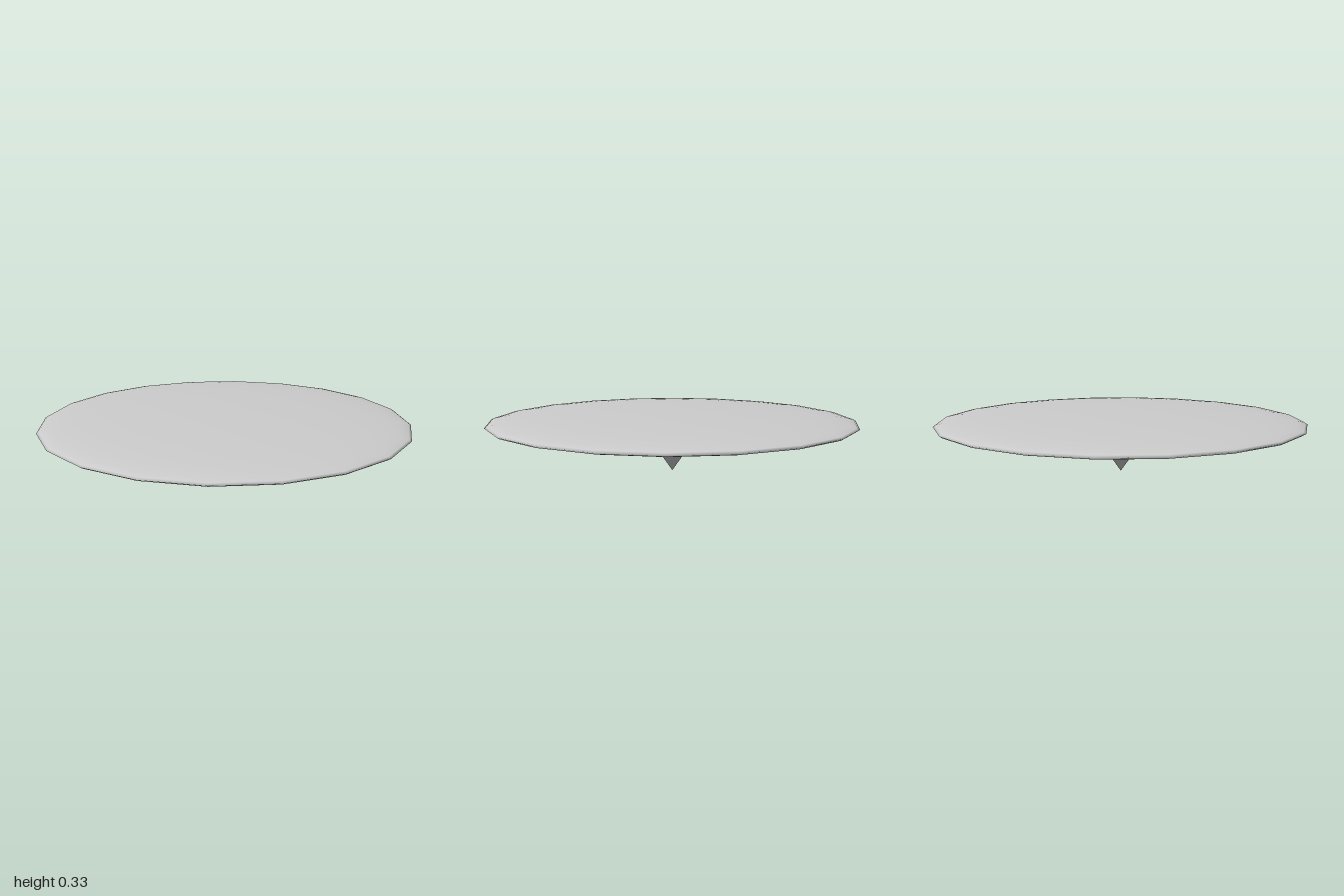
import * as THREE from 'three';
import { mergeVertices } from 'three/addons/utils/BufferGeometryUtils.js';

const CENTER_Y = 0.278, HALF_HEIGHT = 0.054;

export function createModel() {
  const group = new THREE.Group();
  group.name = 'pointedDisc';

  // Flattened 20-sided sphere
  let geometry = new THREE.SphereGeometry(1, 20, 20);
  geometry.scale(1, HALF_HEIGHT, 1);
  geometry.translate(0, CENTER_Y, 0);

  // Pull the bottom pole down to the ground to form the spike
  const pos = geometry.attributes.position;
  for (let i = 0; i < pos.count; i++) {
    const onAxis = Math.hypot(pos.getX(i), pos.getZ(i)) < 1e-4;
    if (onAxis && pos.getY(i) < CENTER_Y) pos.setXYZ(i, 0, 0, 0);
  }

  // Weld the seam and poles so the shading is smooth all round
  geometry.deleteAttribute('uv');
  geometry.deleteAttribute('normal');
  geometry = mergeVertices(geometry, 1e-4);
  geometry.computeVertexNormals();

  const disc = new THREE.Mesh(geometry, new THREE.MeshStandardMaterial({ color: 0xcccccc }));
  disc.name = 'discWithSpike';
  group.add(disc);
  return group;
}
